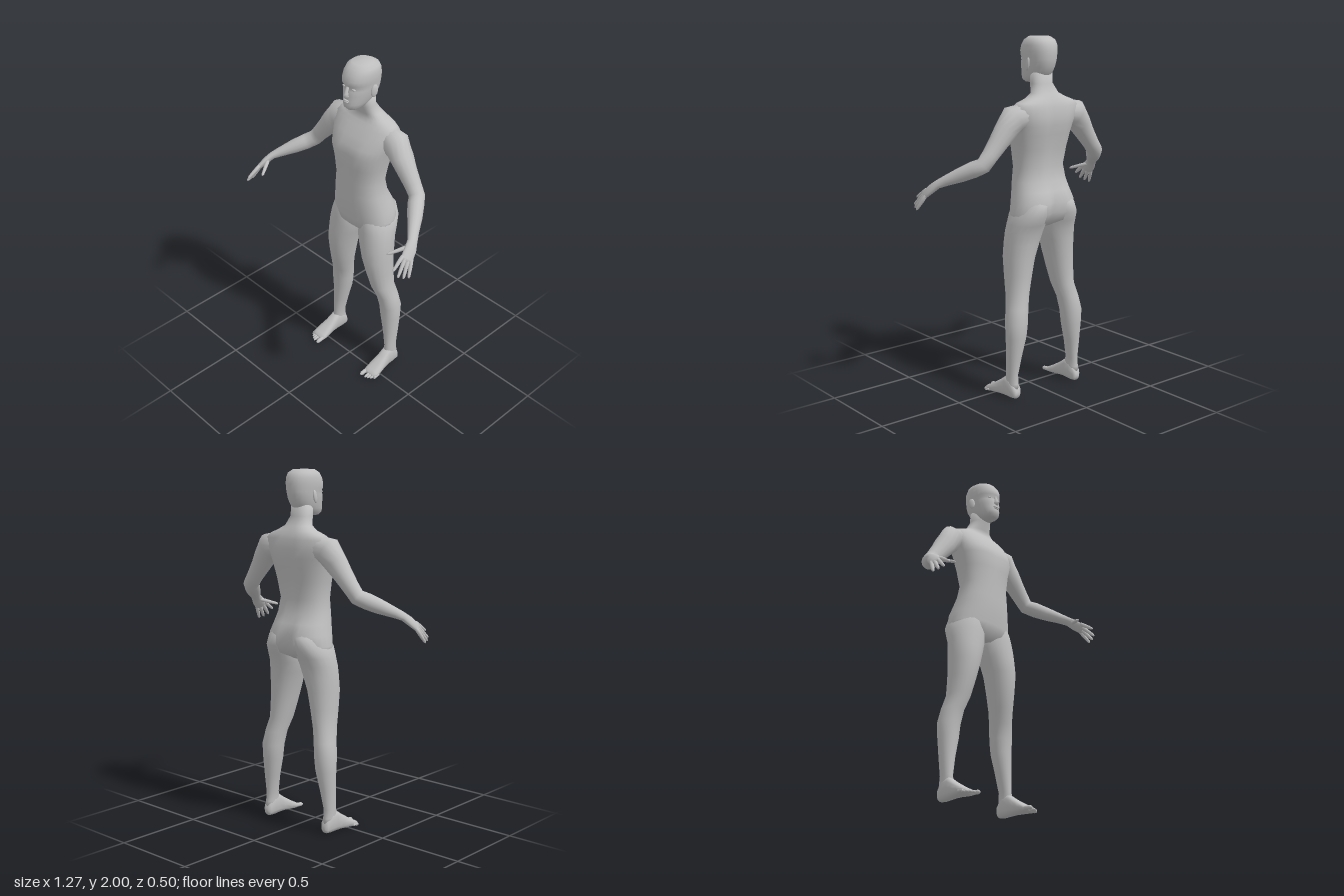
import * as THREE from 'three';

const V = (x, y, z) => new THREE.Vector3(x, y, z);
const X = V(1, 0, 0), Y = V(0, 1, 0), BACK = V(0, 0, -1);

// One superellipse cross-section; u x v points along the loft.
function ring(c, u, v, ru, rv, n, p = 2) {
  return Array.from({ length: n }, (_, i) => {
    const a = (i / n) * Math.PI * 2;
    const f = (t) => Math.sign(t) * Math.pow(Math.abs(t), 2 / p);
    return c.clone().addScaledVector(u, ru * f(Math.cos(a))).addScaledVector(v, rv * f(Math.sin(a)));
  });
}

// Skin a list of rings and close both ends.
function loft(rings) {
  const n = rings[0].length, m = rings.length, pos = [], idx = [];
  rings.flat().forEach((q) => pos.push(q.x, q.y, q.z));
  for (let i = 0; i < m - 1; i++) {
    for (let j = 0; j < n; j++) {
      const a = i * n + j, b = i * n + ((j + 1) % n);
      idx.push(a, b, b + n, a, b + n, a + n);
    }
  }
  [0, m - 1].forEach((r, k) => {
    const c = rings[r].reduce((s, q) => s.add(q), V(0, 0, 0)).divideScalar(n);
    const id = pos.length / 3;
    pos.push(c.x, c.y, c.z);
    for (let j = 0; j < n; j++) {
      const a = r * n + j, b = r * n + ((j + 1) % n);
      k ? idx.push(a, b, id) : idx.push(b, a, id);
    }
  });
  const g = new THREE.BufferGeometry();
  g.setAttribute('position', new THREE.Float32BufferAttribute(pos, 3));
  g.setIndex(idx);
  g.computeVertexNormals();
  return g;
}

// Horizontal sections, bottom to top: [y, x, halfWidth, zFront, zBack]
const column = (rows, n, p) => loft(rows.map(([y, x, w, f, b]) =>
  ring(V(x, y, (f + b) / 2), X, BACK, w, (f - b) / 2, n, p)));

// Limb along a path: [x, y, z, radiusAcross, radiusThick]
function limb(rows, side, n) {
  const pts = rows.map((r) => V(r[0], r[1], r[2]));
  return loft(rows.map((r, i) => {
    const t = pts[Math.min(i + 1, pts.length - 1)].clone().sub(pts[Math.max(i - 1, 0)]).normalize();
    const u = side.clone().addScaledVector(t, -side.dot(t)).normalize();
    return ring(pts[i], u, t.clone().cross(u), r[3], r[4] ?? r[3], n);
  }));
}

function deform(g, fn) {
  const p = g.attributes.position, q = V(0, 0, 0);
  for (let i = 0; i < p.count; i++) {
    fn(q.fromBufferAttribute(p, i));
    p.setXYZ(i, q.x, q.y, q.z);
  }
  g.computeVertexNormals();
  return g;
}

function mirrored(src) {
  const g = src.clone().scale(-1, 1, 1), ix = g.index.array;
  for (let i = 0; i < ix.length; i += 3) [ix[i], ix[i + 1]] = [ix[i + 1], ix[i]];
  g.computeVertexNormals();
  return g;
}

export function createModel() {
  const model = new THREE.Group();
  model.name = 'humanFigure';
  const skin = new THREE.MeshStandardMaterial({ color: 0xbfbfbf });
  skin.name = 'plainGrey';
  const add = (name, g) => {
    const mesh = new THREE.Mesh(g, skin);
    mesh.name = name;
    model.add(mesh);
  };
  const pair = (name, g) => {
    add('left' + name, g);
    add('right' + name, mirrored(g));
  };
  const bump = (d, s) => Math.exp(-((d / s) ** 2));

  // Torso and neck, with grooves for the spine, breastbone and seat
  const torso = column([
    [0.965, 0, 0.07, -0.04, -0.16], [1.0, 0, 0.2, 0.0, -0.225], [1.05, 0, 0.2, 0.008, -0.25],
    [1.11, 0, 0.188, 0.016, -0.254], [1.17, 0, 0.173, 0.02, -0.225], [1.22, 0, 0.163, 0.021, -0.2],
    [1.3, 0, 0.15, 0.022, -0.187], [1.4, 0, 0.165, 0.028, -0.205], [1.48, 0, 0.184, 0.038, -0.222],
    [1.53, 0, 0.195, 0.018, -0.232], [1.58, 0, 0.212, -0.012, -0.234], [1.63, 0, 0.215, -0.05, -0.225],
    [1.655, 0, 0.185, -0.068, -0.215], [1.675, 0, 0.13, -0.08, -0.205], [1.7, 0, 0.083, -0.078, -0.19],
    [1.75, 0, 0.064, -0.06, -0.16], [1.81, 0, 0.062, -0.05, -0.16],
  ], 28, 2.3);
  add('torso', deform(torso, (q) => {
    if (q.z < -0.12) q.z += bump(q.x, 0.03) * (0.035 * bump(q.y - 1.06, 0.08) + 0.018 * bump(q.y - 1.45, 0.16));
    else if (q.z > -0.06) q.z -= 0.012 * bump(q.x, 0.04) * bump(q.y - 1.48, 0.07);
  }));

  // Head
  const head = column([
    [1.752, 0, 0.03, 0.012, -0.06], [1.768, 0, 0.05, 0.028, -0.11], [1.79, 0, 0.06, 0.032, -0.155],
    [1.81, 0, 0.067, 0.028, -0.172], [1.84, 0, 0.075, 0.026, -0.188], [1.868, 0, 0.079, 0.022, -0.195],
    [1.882, 0, 0.08, 0.014, -0.197], [1.9, 0, 0.083, 0.026, -0.199], [1.925, 0, 0.086, 0.025, -0.2],
    [1.955, 0, 0.085, 0.014, -0.196], [1.982, 0, 0.078, -0.006, -0.182], [2.0, 0, 0.055, -0.035, -0.15],
  ], 24, 2.2);
  add('head', head);

  // Face: nose, lips, eyes and ears
  add('nose', column([
    [1.832, 0, 0.012, 0.03, 0.0], [1.838, 0, 0.018, 0.045, 0.0], [1.852, 0, 0.012, 0.04, 0.0],
    [1.89, 0, 0.007, 0.026, 0.0],
  ], 10, 2));
  const blob = (x, y, z, a, b, c) => new THREE.SphereGeometry(1, 12, 8).scale(a, b, c).translate(x, y, z);
  add('upperLip', blob(0, 1.813, 0.026, 0.022, 0.005, 0.009));
  add('lowerLip', blob(0, 1.804, 0.026, 0.019, 0.005, 0.009));
  pair('Eye', blob(0.034, 1.878, 0.006, 0.015, 0.006, 0.007));
  pair('Ear', blob(0, 0, 0, 0.009, 0.036, 0.02).rotateY(-0.35).rotateX(-0.2).translate(0.085, 1.856, -0.095));

  // Arms down to the palms
  const across = V(0.535, -0.48, -0.695);
  pair('Arm', limb([
    [0.11, 1.6, -0.14, 0.06], [0.215, 1.573, -0.132, 0.074, 0.078], [0.265, 1.51, -0.128, 0.064],
    [0.31, 1.452, -0.122, 0.054], [0.36, 1.39, -0.117, 0.046], [0.398, 1.342, -0.11, 0.044],
    [0.43, 1.318, -0.068, 0.045], [0.475, 1.288, -0.015, 0.04], [0.525, 1.254, 0.048, 0.031, 0.028],
    [0.555, 1.232, 0.085, 0.028, 0.021], [0.573, 1.205, 0.118, 0.035, 0.019],
    [0.588, 1.172, 0.158, 0.036, 0.014], [0.592, 1.164, 0.168, 0.03, 0.009],
  ], across, 14));

  // Fingers and thumbs: knuckle, tip
  const fingers = {
    IndexFinger: [[0.572, 1.184, 0.182], [0.58, 1.138, 0.251]],
    MiddleFinger: [[0.584, 1.173, 0.172], [0.605, 1.104, 0.24]],
    RingFinger: [[0.595, 1.163, 0.158], [0.62, 1.092, 0.215]],
    LittleFinger: [[0.605, 1.156, 0.143], [0.63, 1.085, 0.185]],
    Thumb: [[0.558, 1.214, 0.115], [0.497, 1.181, 0.213]],
  };
  for (const [name, [k, t]] of Object.entries(fingers)) {
    const at = (f, r) => [0, 1, 2].map((i) => k[i] + (t[i] - k[i]) * f).concat(r);
    pair(name, limb([at(-0.15, 0.011), at(0.25, 0.0115), at(0.6, 0.01), at(0.9, 0.008), at(1, 0.004)], across, 8));
  }

  // Legs
  pair('Leg', column([
    [0.06, 0.223, 0.03, -0.085, -0.172], [0.09, 0.223, 0.03, -0.075, -0.17], [0.14, 0.222, 0.028, -0.085, -0.165],
    [0.25, 0.214, 0.042, -0.085, -0.18], [0.36, 0.203, 0.057, -0.08, -0.196], [0.44, 0.2, 0.063, -0.074, -0.201],
    [0.52, 0.186, 0.061, -0.06, -0.19], [0.6, 0.165, 0.062, -0.03, -0.176], [0.7, 0.152, 0.073, -0.008, -0.177],
    [0.8, 0.14, 0.085, 0.009, -0.182], [0.88, 0.126, 0.097, 0.007, -0.193], [0.94, 0.115, 0.104, 0.004, -0.203],
    [0.99, 0.109, 0.103, 0.0, -0.225], [1.04, 0.104, 0.096, -0.005, -0.248], [1.1, 0.09, 0.08, -0.02, -0.25],
    [1.15, 0.08, 0.06, -0.05, -0.2],
  ], 20, 2.1));

  // Feet, heel to ball: [z, x, halfWidth, yBottom, yTop]
  const foot = [
    [-0.176, 0.222, 0.016, 0.02, 0.05], [-0.165, 0.222, 0.028, 0.006, 0.08], [-0.13, 0.223, 0.034, 0.002, 0.125],
    [-0.09, 0.224, 0.034, 0.003, 0.125], [-0.05, 0.226, 0.038, 0.004, 0.095], [0.0, 0.228, 0.046, 0.002, 0.063],
    [0.04, 0.229, 0.049, 0.0, 0.04], [0.06, 0.229, 0.042, 0.003, 0.03],
  ];
  pair('Foot', loft(foot.map(([z, x, w, b, t]) => ring(V(x, (b + t) / 2, z), X, Y, w, (t - b) / 2, 14, 2.6))));

  // Toes, big toe innermost
  for (let i = 0; i < 5; i++) {
    const x = i ? 0.21 + i * 0.0155 : 0.195, r = i ? 0.0085 : 0.0125, end = 0.098 - i * i * 0.0015 - i * 0.003;
    pair('Toe' + (i + 1), limb([
      [x - 0.001, r + 0.008, 0.02, r], [x, r + 0.005, 0.055, r], [x, r + 0.002, end - 0.012, r], [x, r, end, r * 0.5],
    ], X, 8));
  }
  return model;
}
